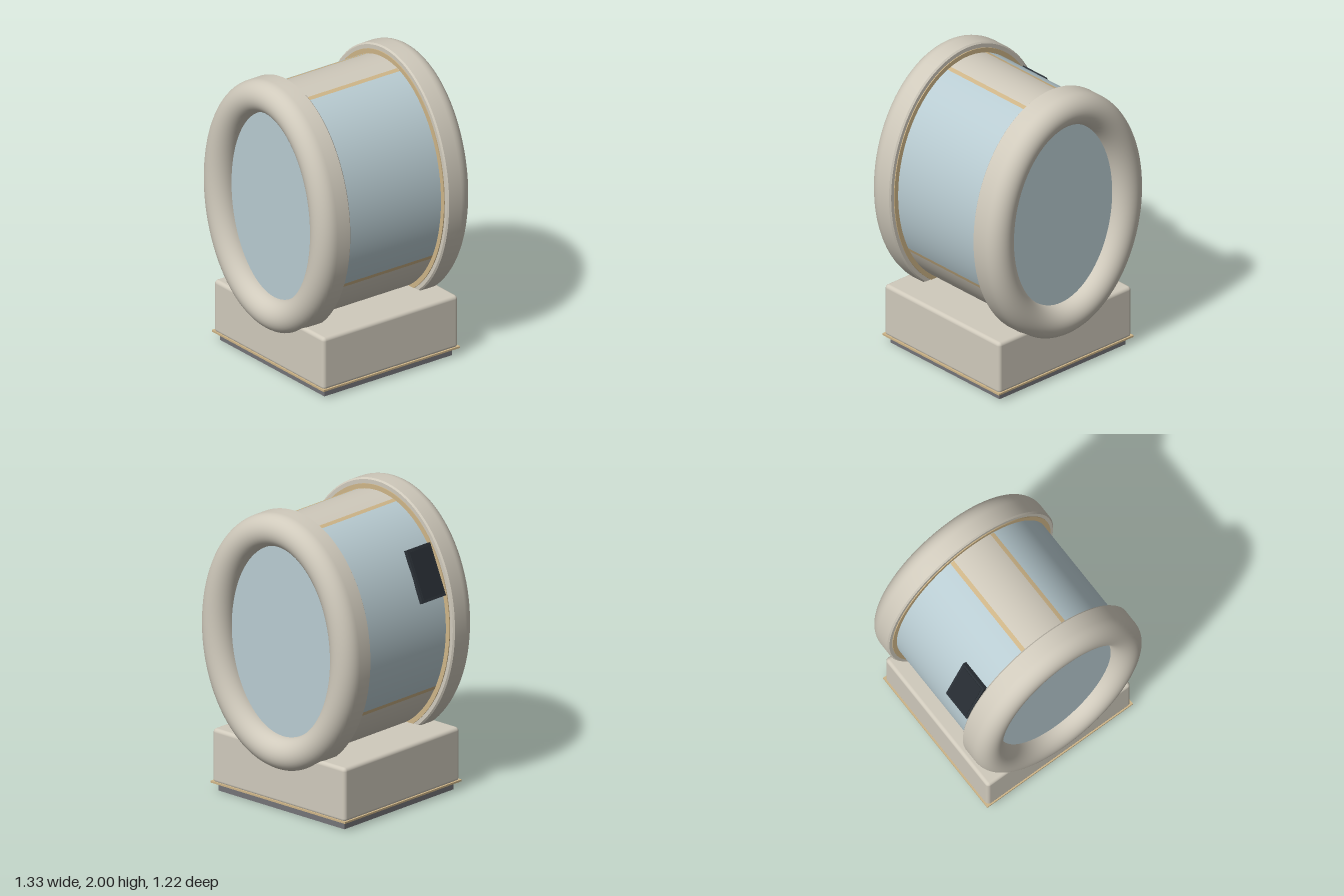
import * as THREE from 'three';
import { toCreasedNormals } from 'three/addons/utils/BufferGeometryUtils.js';
import { RoundedBoxGeometry } from 'three/addons/geometries/RoundedBoxGeometry.js';

const CY = 1.14; // height of the pod axis
const BODY = [0.6, 0.793]; // half width and half height of the oval body
const OPENING = [0.445, 0.643]; // oval window opening

const material = (name, color) => {
  const m = new THREE.MeshStandardMaterial({ color });
  m.name = name;
  return m;
};

// Sweeps a profile of [offset, z] points around an oval between two angles
function ovalSweep([rx, ry], profile, from = 0, to = Math.PI * 2, steps = 96) {
  const positions = [], index = [], n = profile.length;
  for (let i = 0; i <= steps; i++) {
    const t = from + (to - from) * i / steps;
    for (const [d, z] of profile) positions.push((rx + d) * Math.cos(t), (ry + d) * Math.sin(t), z);
  }
  for (let i = 0; i < steps; i++) {
    for (let j = 0; j < n - 1; j++) {
      const a = i * n + j, b = a + n;
      index.push(a, a + 1, b, a + 1, b + 1, b);
    }
  }
  const g = new THREE.BufferGeometry();
  g.setAttribute('position', new THREE.Float32BufferAttribute(positions, 3));
  g.setIndex(index);
  return toCreasedNormals(g, 0.5);
}

export function createModel() {
  const model = new THREE.Group();
  model.name = 'ovalPod';
  const shell = material('warm beige', 0xd0cabc);
  const glass = material('pale blue glass', 0xb9ccd2);
  const tan = material('tan trim', 0xceb588);
  const grey = material('plinth grey', 0x747478);
  const black = material('panel black', 0x2b3137);
  const screenDark = material('screen black', 0x272d33);

  const add = (name, geometry, mat, x = 0, y = 0, z = 0, parent = model) => {
    const mesh = new THREE.Mesh(geometry, mat);
    mesh.name = name;
    mesh.position.set(x, y, z);
    parent.add(mesh);
    return mesh;
  };

  // Oval body: glass sides with solid roof and floor panels
  const roof = Math.acos(0.16 / BODY[0]);
  const floor = -Math.asin(0.42 / BODY[1]);
  const wall = [[0, 0.4], [0, -0.4]];
  const PI = Math.PI;
  add('rightGlass', ovalSweep(BODY, wall, floor, roof, 48), glass, 0, CY);
  add('leftGlass', ovalSweep(BODY, wall, PI - roof, PI - floor, 48), glass, 0, CY);
  add('roofPanel', ovalSweep(BODY, wall, roof, PI - roof, 16), shell, 0, CY);
  add('floorPanel', ovalSweep(BODY, wall, PI - floor, 2 * PI + floor, 48), shell, 0, CY);

  // Tan strips along the glass edges
  const strip = [[0, 0.38], [0.004, 0.38], [0.004, -0.38], [0, -0.38]];
  for (const [name, angle, half] of [
    ['roofStripLeft', roof, 0.024], ['roofStripRight', PI - roof, 0.024],
    ['floorStripLeft', floor, 0.02], ['floorStripRight', PI - floor, 0.02],
  ]) add(name, ovalSweep(BODY, strip, angle - half, angle + half, 4), tan, 0, CY);

  // Matching end rings with window and inner collar
  const ringProfile = [[0, 0.39]];
  for (let i = 0; i <= 20; i++) {
    const a = PI * i / 20;
    ringProfile.push([0.11 - 0.11 * Math.cos(a), 0.5 + 0.11 * Math.sin(a)]);
  }
  ringProfile.push([0.22, 0.4], [0.21, 0.39], [0, 0.39]);
  const collar = [[0.032, 0.392], [0.032, 0.384], [-0.005, 0.384]];
  for (const [side, turn] of [['front', 0], ['back', PI]]) {
    const end = new THREE.Group();
    end.name = side + 'End';
    end.position.y = CY;
    end.rotation.y = turn;
    model.add(end);
    add(side + 'Ring', ovalSweep(OPENING, ringProfile), shell, 0, 0, 0, end);
    add(side + 'Collar', ovalSweep(BODY, collar), tan, 0, 0, 0, end);
    const pane = new THREE.CircleGeometry(1, 96).scale(OPENING[0] + 0.002, OPENING[1] + 0.002, 1);
    add(side + 'Window', pane, glass, 0, 0, 0.5, end);
  }

  // Control screen lying on the side glass
  const control = new THREE.Group();
  control.name = 'controlScreen';
  control.position.set(-0.532, 1.53, 0.262);
  control.rotation.z = -0.4;
  model.add(control);
  add('screenFrame', new THREE.BoxGeometry(0.026, 0.355, 0.22), black, 0, 0, 0, control);
  add('screenFace', new THREE.BoxGeometry(0.006, 0.32, 0.19), screenDark, -0.014, 0, 0, control);

  // Base block, trim line and recessed plinth
  add('baseBlock', new RoundedBoxGeometry(1.15, 0.368, 1.09, 4, 0.025), shell, 0, 0.24);
  add('baseTrim', new THREE.BoxGeometry(1.168, 0.012, 1.104), tan, 0, 0.061);
  add('plinth', new THREE.BoxGeometry(1.09, 0.056, 1.03), grey, 0, 0.028);

  return model;
}
